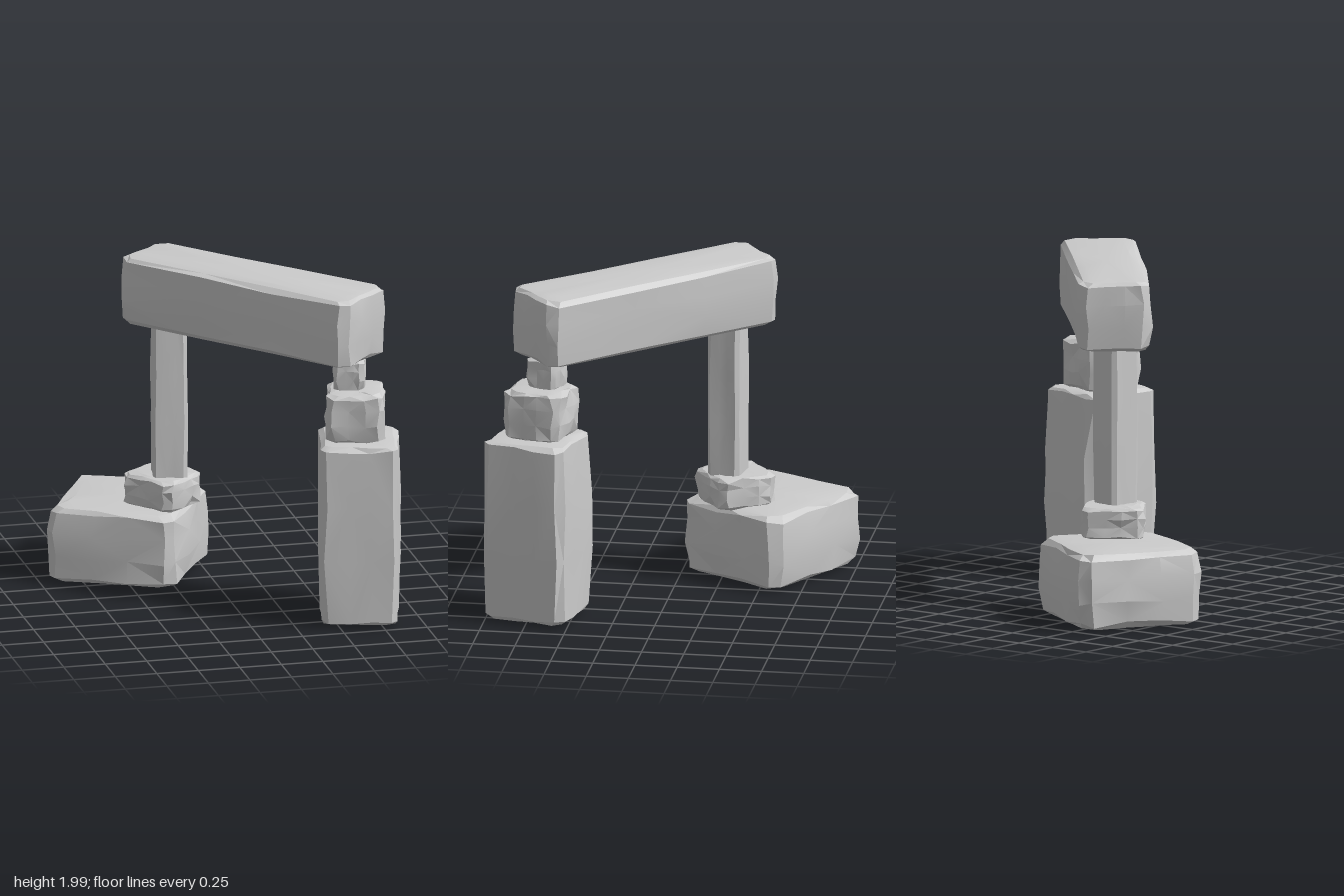
import * as THREE from 'three';
import { toCreasedNormals } from 'three/addons/utils/BufferGeometryUtils.js';

// small seeded noise source, values in -1..1
function seeded(seed) {
  let s = seed * 7919 + 17;
  return () => {
    s = (s * 16807) % 2147483647;
    return (s / 2147483647) * 2 - 1;
  };
}

// plan outline: four corners moved inward by d, chamfered by c, edges cut in thirds
function outline(corners, d, c) {
  const inner = corners.map((p, i) => {
    const a = corners[(i + 3) % 4].clone().sub(p).normalize();
    const b = corners[(i + 1) % 4].clone().sub(p).normalize();
    return p.clone().addScaledVector(a, d).addScaledVector(b, d);
  });
  const pts = [];
  inner.forEach((p, i) => {
    const next = inner[(i + 1) % 4];
    const dir = next.clone().sub(p).normalize();
    const start = p.clone().addScaledVector(dir, c);
    const end = next.clone().addScaledVector(dir, -c);
    for (const t of [0, 0.36, 0.68, 1]) pts.push(start.clone().lerp(end, t));
  });
  return pts;
}

// rough-hewn block: stacked outlines with bevelled rims and slight noise
function stone({ name, plan, y0, y1, bevel, chamfer, rough, seed }) {
  const rnd = seeded(seed);
  const corners = plan.map(([x, z]) => new THREE.Vector2(x, z));
  const h = y1 - y0;
  const rim = Math.min(bevel * 0.8, h * 0.2);
  const levels = [
    [y0, bevel * 2.4],
    [y0 + rim * 0.25, bevel],
    [y0 + rim, bevel * 0.25],
    [y0 + h * 0.36, 0],
    [y0 + h * 0.66, 0],
    [y1 - rim, bevel * 0.25],
    [y1 - rim * 0.25, bevel],
    [y1, bevel * 2.4],
  ];
  const pos = [];
  const idx = [];
  const n = 16;
  levels.forEach(([y, inset], k) => {
    const side = k > 1 && k < 6;
    for (const p of outline(corners, inset, chamfer)) {
      const dy = side ? rnd() * Math.min(rough * 1.5, rim * 0.4) : rnd() * rough * 0.3;
      pos.push(p.x + rnd() * rough, y + dy, p.y + rnd() * rough);
    }
  });
  for (let k = 0; k < levels.length - 1; k++) {
    for (let i = 0; i < n; i++) {
      const a = k * n + i;
      const b = k * n + ((i + 1) % n);
      if ((i + k) % 2) idx.push(a, b, b + n, a, b + n, a + n);
      else idx.push(a, b, a + n, b, b + n, a + n);
    }
  }
  // bottom and top caps
  const mid = corners.reduce((s, p) => s.add(p), new THREE.Vector2()).multiplyScalar(0.25);
  const low = pos.length / 3;
  pos.push(mid.x, y0, mid.y, mid.x, y1, mid.y);
  const last = (levels.length - 1) * n;
  for (let i = 0; i < n; i++) {
    const j = (i + 1) % n;
    idx.push(low, j, i, low + 1, last + i, last + j);
  }
  const geo = new THREE.BufferGeometry();
  geo.setAttribute('position', new THREE.Float32BufferAttribute(pos, 3));
  geo.setIndex(idx);
  const mesh = new THREE.Mesh(
    toCreasedNormals(geo, 0.28),
    new THREE.MeshStandardMaterial({ color: 0xcccccc, roughness: 0.9 })
  );
  mesh.name = name;
  return mesh;
}

// plan corners run front-left, front-right, back-right, back-left as [x, z]
const STONES = [
  { name: 'wideBaseStone', plan: [[-0.98, -0.36], [-0.29, 0.01], [0.09, -0.61], [-0.6, -1.04]],
    y0: 0.01, y1: 0.47, bevel: 0.045, chamfer: 0.06, rough: 0.013, seed: 1 },
  { name: 'postFootStone', plan: [[-0.53, -0.36], [-0.3, -0.06], [-0.03, -0.28], [-0.22, -0.58]],
    y0: 0.46, y1: 0.655, bevel: 0.025, chamfer: 0.04, rough: 0.012, seed: 2 },
  { name: 'slenderPost', plan: [[-0.365, -0.2], [-0.16, -0.165], [-0.125, -0.36], [-0.33, -0.395]],
    y0: 0.64, y1: 1.6, bevel: 0.015, chamfer: 0.022, rough: 0.004, seed: 3 },
  { name: 'standingPillar', plan: [[0.37, 0.9], [0.83, 1.015], [0.95, 0.52], [0.49, 0.4]],
    y0: 0.02, y1: 1.12, bevel: 0.035, chamfer: 0.04, rough: 0.01, seed: 4 },
  { name: 'middleBlock', plan: [[0.43, 0.83], [0.77, 0.905], [0.85, 0.56], [0.52, 0.47]],
    y0: 1.11, y1: 1.415, bevel: 0.03, chamfer: 0.04, rough: 0.012, seed: 5 },
  { name: 'capBlock', plan: [[0.5, 0.725], [0.67, 0.78], [0.725, 0.6], [0.56, 0.54]],
    y0: 1.4, y1: 1.59, bevel: 0.018, chamfer: 0.022, rough: 0.007, seed: 6 },
  { name: 'lintel', plan: [[-0.55, -0.32], [0.53, 0.9], [0.87, 0.6], [-0.22, -0.6]],
    y0: 1.575, y1: 1.995, bevel: 0.035, chamfer: 0.05, rough: 0.01, seed: 7 },
];

export function createModel() {
  const group = new THREE.Group();
  group.name = 'stoneArch';
  for (const s of STONES) group.add(stone(s));
  return group;
}
